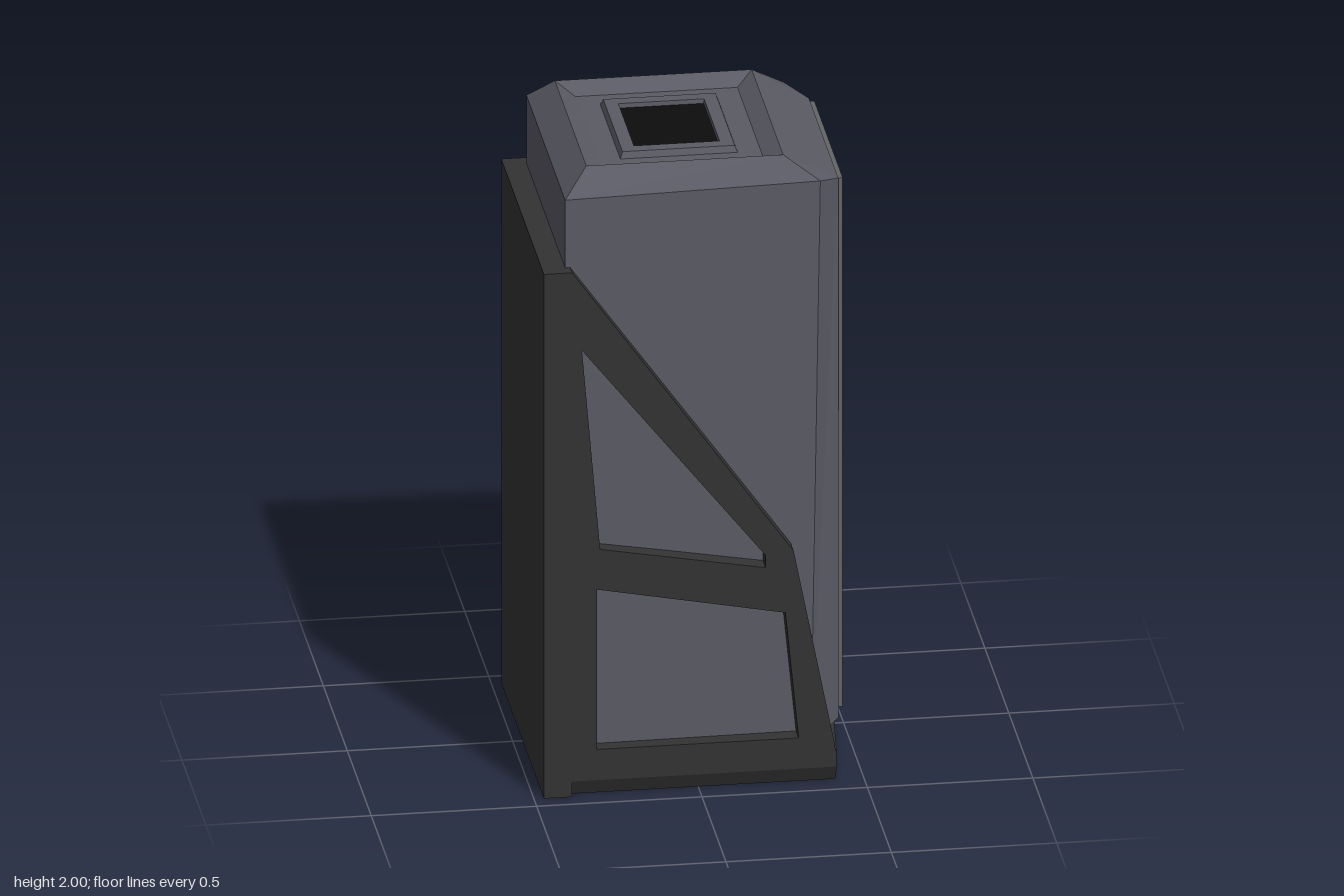
import * as THREE from 'three';

const mat = (color) => new THREE.MeshStandardMaterial({ color, flatShading: true, side: THREE.DoubleSide });
const shellMat = mat(0x5a5a64), frameMat = mat(0x333333), panelMat = mat(0x646464), darkMat = mat(0x0d0d0d);

const path = (pts) => pts.map(([x, y]) => new THREE.Vector2(x, y));
const rect = (x0, y0, x1, y1) => [[x0, y0], [x1, y0], [x1, y1], [x0, y1]];

// Flat plate with holes, extruded along +z
function plate(outline, holes, depth) {
  const shape = new THREE.Shape(path(outline));
  shape.holes = holes.map((h) => new THREE.Path(path(h)));
  return new THREE.ExtrudeGeometry(shape, { depth, bevelEnabled: false });
}

// Skin between rings listed bottom to top; each ring gives its +z half and is mirrored.
// skip(level, segment) leaves a quad open.
function loft(halves, { capStart = false, capEnd = false, skip = () => false } = {}) {
  const rings = halves.map((h) => [...h, ...[...h].reverse().map(([x, y, z]) => [x, y, -z])]);
  const pos = [];
  const tri = (a, b, c) => pos.push(...a, ...b, ...c);
  const n = rings[0].length;
  for (let l = 0; l < rings.length - 1; l++) {
    for (let i = 0; i < n; i++) {
      if (skip(l, i)) continue;
      const j = (i + 1) % n, a = rings[l], b = rings[l + 1];
      tri(a[i], a[j], b[j]);
      tri(a[i], b[j], b[i]);
    }
  }
  const first = rings[0], last = rings[rings.length - 1];
  for (let i = 1; i < n - 1; i++) {
    if (capStart) tri(first[0], first[i + 1], first[i]);
    if (capEnd) tri(last[0], last[i], last[i + 1]);
  }
  const g = new THREE.BufferGeometry();
  g.setAttribute('position', new THREE.Float32BufferAttribute(pos, 3));
  g.computeVertexNormals();
  return g;
}

export function createModel() {
  const model = new THREE.Group();
  const add = (name, geometry, material) => {
    const m = new THREE.Mesh(geometry, material);
    m.name = name;
    model.add(m);
    return m;
  };

  // Main shell: bevelled foot, walls, sloped shoulders and sunken roof
  add('shell', loft([
    [[-0.4, 0.1, 0.4], [0.345, 0.1, 0.39], [0.345, 0.1, 0.39]],
    [[-0.4, 0.1, 0.4], [0.345, 0.1, 0.39], [0.44, 0.155, 0.315]],
    [[-0.4, 1.925, 0.405], [0.375, 1.93, 0.38], [0.44, 1.905, 0.307]],
    [[-0.325, 2, 0.328], [0.27, 2, 0.328], [0.27, 2, 0.328]],
    [[-0.27, 1.965, 0.28], [0.22, 1.965, 0.28], [0.22, 1.965, 0.28]],
  ], { capStart: true, capEnd: true, skip: (l, i) => l === 1 && i === 2 }), shellMat);

  // Front surround and slotted panel, turned to face +x
  const facing = (g, x) => g.rotateY(Math.PI / 2).translate(x, 0, 0);
  const panelEdge = rect(-0.295, 0.18, 0.295, 1.9);
  add('panelSurround', facing(plate(
    [[-0.315, 0.155], [0.315, 0.155], [0.307, 1.905], [-0.307, 1.905]], [panelEdge], 0.05), 0.39), shellMat);
  const slots = [1.325, 1.45, 1.573].map((y) => rect(-0.245, y, 0.245, y + 0.077));
  add('frontPanel', facing(plate(panelEdge, slots, 0.065), 0.39), panelMat);
  add('slotBacking', new THREE.BoxGeometry(0.01, 0.42, 0.56).translate(0.385, 1.488, 0), darkMat);

  // Roof vent: bevelled collar around a dark opening
  const collar = (y, e) => [[-0.205 + e, y, 0.21 - e], [0.15 - e, y, 0.21 - e]];
  add('ventCollar', loft([
    collar(1.965, 0), collar(1.985, 0.008), collar(1.985, 0.048), collar(1.968, 0.05),
  ]), shellMat);
  add('ventOpening', new THREE.BoxGeometry(0.257, 0.006, 0.322).translate(-0.0275, 1.968, 0), darkMat);

  // Cradle: back slab, pair of braced sides, and pointed base
  add('backSlab', new THREE.BoxGeometry(0.085, 1.705, 0.89).translate(-0.4275, 0.8525, 0), frameMat);
  const sideOutline = [[-0.385, 0.05], [0.415, 0.05], [0.41, 0.12], [0.285, 0.76], [-0.385, 1.705]];
  const sideHoles = [
    [[-0.355, 1.45], [-0.3, 0.8], [0.2, 0.71], [0.2, 0.75]],
    [[-0.31, 0.67], [-0.31, 0.15], [0.3, 0.15], [0.26, 0.56]],
  ];
  for (const [name, z] of [['frontSideFrame', 0.375], ['rearSideFrame', -0.445]]) {
    add(name, plate(sideOutline, sideHoles, 0.07).translate(0, 0, z), frameMat);
  }
  const baseRing = (y, z) => [[-0.385, y, z], [0.415, y, z], [0.465, y, 0]];
  add('base', loft([baseRing(0, 0.42), baseRing(0.05, 0.444), baseRing(0.1, 0.444)],
    { capStart: true, capEnd: true }), frameMat);

  return model;
}
